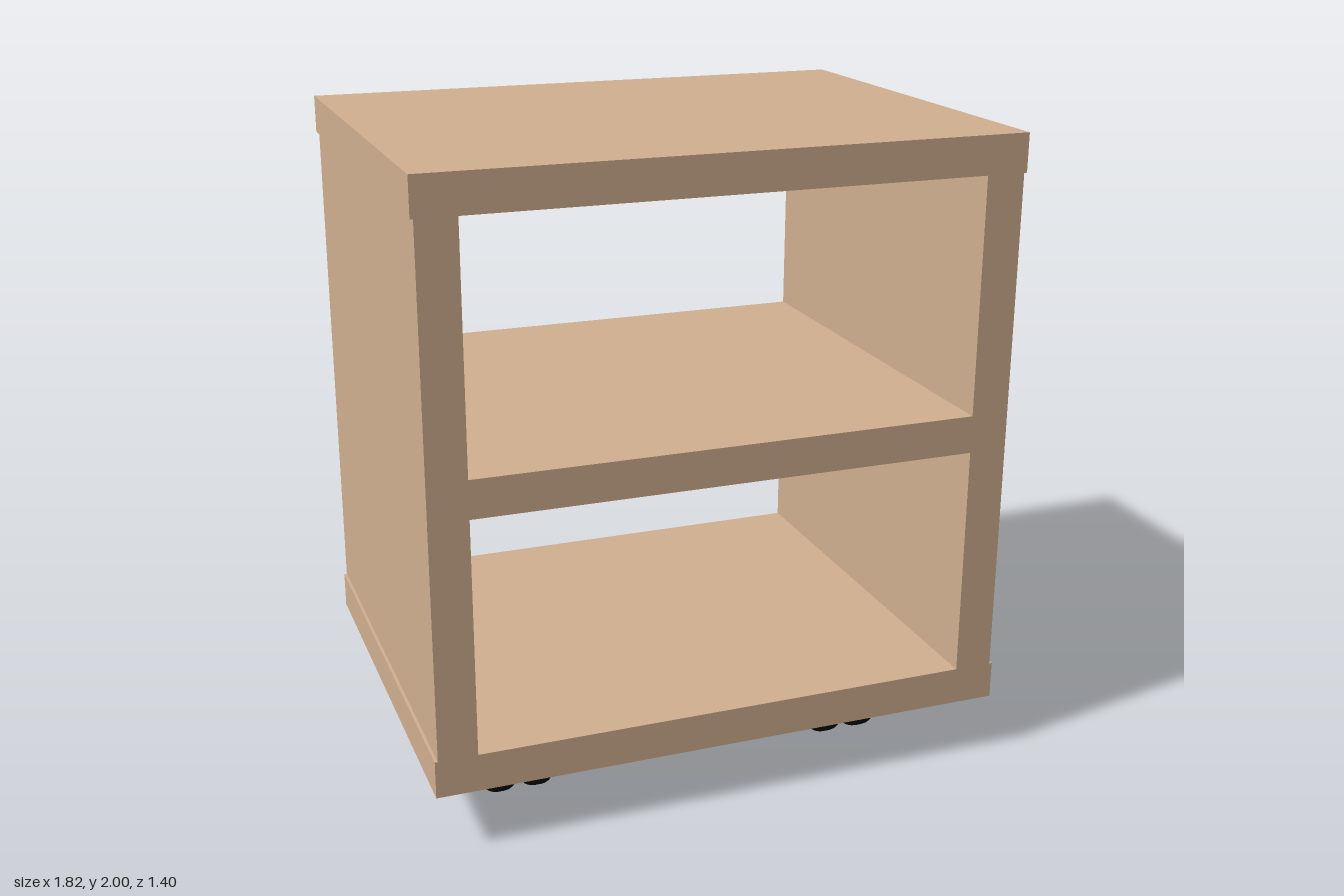
import * as THREE from 'three';

const wood = new THREE.MeshStandardMaterial({ color: 0xd2b090 });
const rubber = new THREE.MeshStandardMaterial({ color: 0x0c0c0c });

function add(parent, name, geometry, material, x, y, z) {
  const mesh = new THREE.Mesh(geometry, material);
  mesh.name = name;
  mesh.position.set(x, y, z);
  parent.add(mesh);
  return mesh;
}

// Wheel turned about x: flat faces with generously rounded rims
function wheelGeometry() {
  const half = 0.052, radius = 0.09, round = 0.04;
  const profile = [new THREE.Vector2(0, -half)];
  for (const side of [-1, 1]) {
    for (let i = 0; i <= 6; i++) {
      const a = (side < 0 ? i - 6 : i) / 6 * Math.PI / 2;
      profile.push(new THREE.Vector2(
        radius - round + round * Math.cos(a),
        side * (half - round) + round * Math.sin(a)));
    }
  }
  profile.push(new THREE.Vector2(0, half));
  return new THREE.LatheGeometry(profile, 32).rotateZ(Math.PI / 2).scale(1, 1, 1.13);
}

export function createModel() {
  const model = new THREE.Group();
  model.name = 'rollingCabinet';

  // Carcass: horizontal boards overhang the side panels a little
  const depth = 1.39;
  const wide = new THREE.BoxGeometry(1.812, 0.117, depth);
  add(model, 'topBoard', wide, wood, 0, 1.9415, 0);
  add(model, 'bottomBoard', wide, wood, 0, 0.2485, 0);
  add(model, 'middleShelf', new THREE.BoxGeometry(1.56, 0.117, depth), wood, 0, 1.095, 0);
  const panel = new THREE.BoxGeometry(0.119, 1.576, depth);
  add(model, 'rightPanel', panel, wood, -0.8375, 1.095, 0);
  add(model, 'leftPanel', panel, wood, 0.8375, 1.095, 0);

  // Twin-wheel casters, stems offset forward of the wheels
  const wheel = wheelGeometry();
  const axle = new THREE.CylinderGeometry(0.036, 0.036, 0.08, 24).rotateZ(Math.PI / 2);
  const stem = new THREE.CylinderGeometry(0.029, 0.029, 0.1, 24);
  for (const x of [-0.59, 0.513]) {
    for (const z of [-0.383, 0.383]) {
      const caster = new THREE.Group();
      caster.name = 'caster';
      caster.position.set(x, 0.09, z);
      for (const side of [-1, 1]) add(caster, 'wheel', wheel, rubber, side * 0.059, 0, 0);
      add(caster, 'axle', axle, rubber, 0, 0, 0);
      add(caster, 'stem', stem, wood, -0.005, 0.055, 0.06);
      model.add(caster);
    }
  }

  // The cabinet sits very slightly turned
  model.rotation.y = -0.0045;
  return model;
}
